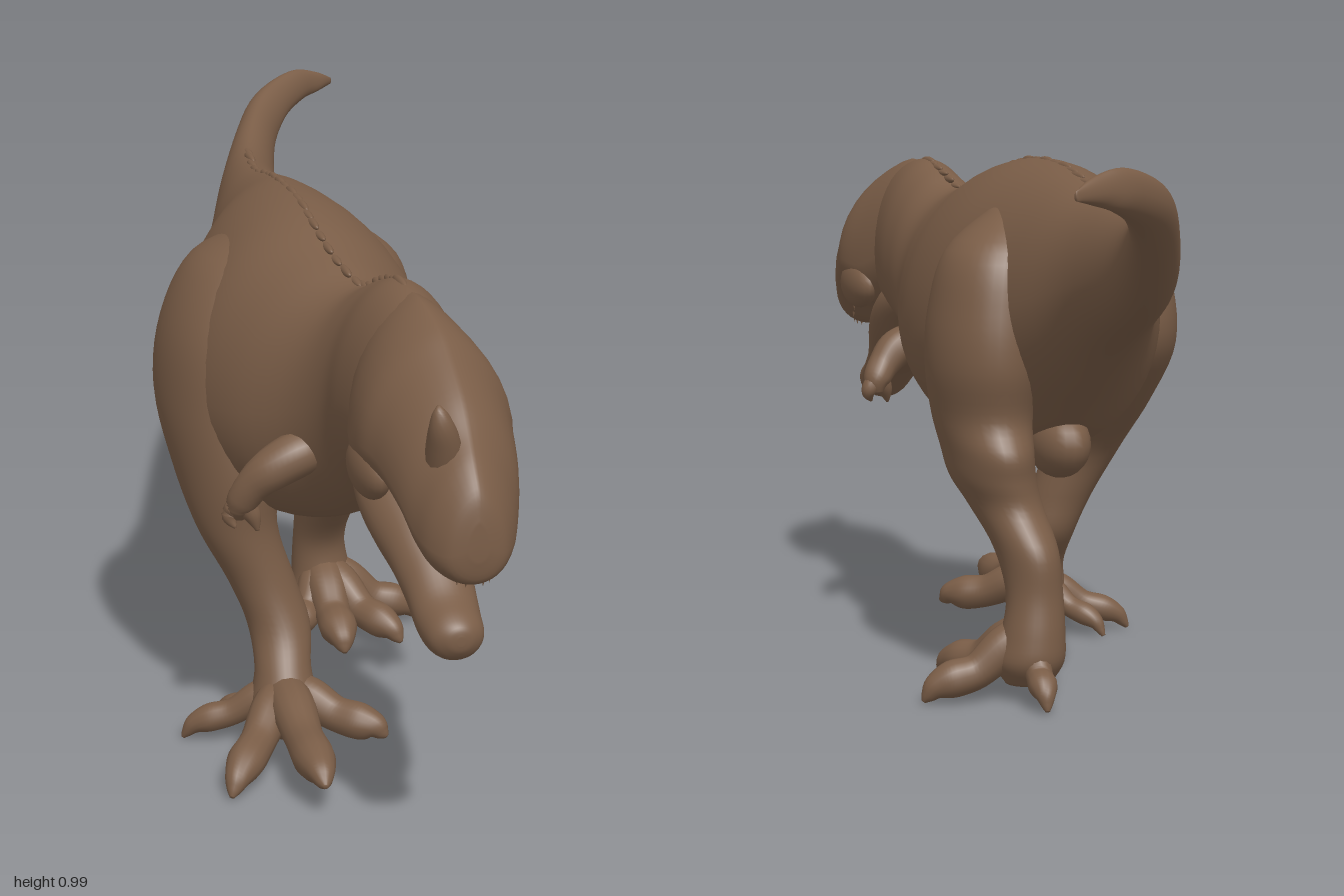
import * as THREE from 'three';

const skin = new THREE.MeshStandardMaterial({ color: 0x7a5d47 });
skin.name = 'brownSkin';

// Smooth interpolation through rows of numbers
function smoothRows(rows, steps) {
  const out = [], last = rows.length - 1;
  for (let i = 0; i < last; i++) {
    const a = rows[Math.max(i - 1, 0)], b = rows[i], c = rows[i + 1], d = rows[Math.min(i + 2, last)];
    for (let s = 0; s < steps; s++) {
      const t = s / steps;
      out.push(b.map((_, k) => b[k] + 0.5 * t * (c[k] - a[k]
        + t * (2 * a[k] - 5 * b[k] + 4 * c[k] - d[k] + t * (3 * (b[k] - c[k]) + d[k] - a[k])))));
    }
  }
  out.push(rows[last]);
  return out;
}

// Skin a list of closed rings, with a centre vertex closing each end
function skinRings(name, rings) {
  const n = rings[0].length, m = rings.length, pos = [], idx = [];
  rings.forEach(r => r.forEach(p => pos.push(p.x, p.y, p.z)));
  for (let i = 0; i < m - 1; i++) for (let j = 0; j < n; j++) {
    const k = (j + 1) % n, a = i * n + j, b = i * n + k, c = a + n, d = b + n;
    idx.push(a, b, c, b, d, c);
  }
  [rings[0], rings[m - 1]].forEach((r, e) => {
    const c = r.reduce((s, p) => s.add(p), new THREE.Vector3()).divideScalar(n);
    pos.push(c.x, c.y, c.z);
    for (let j = 0; j < n; j++) {
      const o = e * (m - 1) * n, a = o + j, b = o + (j + 1) % n;
      if (e) idx.push(a, b, m * n + 1); else idx.push(b, a, m * n);
    }
  });
  const g = new THREE.BufferGeometry();
  g.setAttribute('position', new THREE.Float32BufferAttribute(pos, 3));
  g.setIndex(idx);
  g.computeVertexNormals();
  const mesh = new THREE.Mesh(g, skin);
  mesh.name = name;
  return mesh;
}

// Rows: [t, centre x, half width, low v, high v]; place maps (x, v, t) to space
function loft(name, rows, place, mid = 0.5, peak = 0, n = 36) {
  return skinRings(name, smoothRows(rows, 5).map(([t, cx, w, lo, hi]) => {
    const ring = [], vm = lo + (hi - lo) * mid;
    for (let j = 0; j < n; j++) {
      const a = j / n * Math.PI * 2, c = Math.cos(a), s = Math.sin(a);
      const x = s > 0 ? c * Math.pow(Math.abs(c), peak) : c;
      ring.push(place(cx + w * x, vm + s * (s > 0 ? hi - vm : vm - lo), t));
    }
    return ring;
  }));
}
const alongZ = (x, v, t) => new THREE.Vector3(x, v, t);
const alongY = (x, v, t) => new THREE.Vector3(x, t, v);

// Tapered round limb through [x, y, z, radius]
function limb(name, pts, n = 14) {
  const rows = smoothRows(pts, 6), P = rows.map(r => new THREE.Vector3(r[0], r[1], r[2]));
  const ref = new THREE.Vector3(0.31, 0.9, 0.2).normalize();
  return skinRings(name, P.map((p, i) => {
    const d = P[Math.min(i + 1, P.length - 1)].clone().sub(P[Math.max(i - 1, 0)]).normalize();
    const u = new THREE.Vector3().crossVectors(ref, d).normalize();
    const v = new THREE.Vector3().crossVectors(d, u), r = Math.max(rows[i][3], 0.001);
    return Array.from({ length: n }, (_, j) => {
      const a = j / n * Math.PI * 2;
      return p.clone().addScaledVector(u, r * Math.cos(a)).addScaledVector(v, r * Math.sin(a));
    });
  }));
}

function blob(name, x, y, z, rx, ry, rz) {
  const m = new THREE.Mesh(new THREE.SphereGeometry(1, 20, 14), skin);
  m.name = name;
  m.position.set(x, y, z);
  m.scale.set(rx, ry, rz);
  return m;
}

// Toes flare out of the ankle; each ends in a knuckle and a drooping claw
function foot(name, ax, az, ankle, tips) {
  const g = new THREE.Group();
  g.name = name;
  tips.forEach(([x, y, z, r]) => {
    const at = (f, h, q) => [ax + (x - ax) * f, h, az + (z - az) * f, q];
    g.add(limb('toe', [at(0.02, ankle, r), at(0.25, ankle * 0.55 + 0.03 + y * 0.2, r * 1.1),
      at(0.5, 0.06 + y * 0.4, r * 0.95), at(0.73, 0.045 + y * 0.55, r),
      at(0.88, 0.03 + y * 0.75, r * 0.72), at(0.96, 0.012 + y * 0.88, r * 0.4), at(1, y, 0.004)]));
  });
  return g;
}

export function createModel() {
  const model = new THREE.Group();
  model.name = 'dinosaur';

  // Tail, torso and neck
  const body = [
    [-1, 0.295, 0.004, 0.955, 0.97], [-0.97, 0.25, 0.025, 0.945, 0.99], [-0.94, 0.198, 0.034, 0.93, 1.0],
    [-0.87, 0.128, 0.042, 0.895, 0.98], [-0.77, 0.074, 0.044, 0.83, 0.945], [-0.61, 0.024, 0.061, 0.735, 0.905],
    [-0.4, -0.008, 0.093, 0.65, 0.915], [-0.24, -0.015, 0.14, 0.545, 0.94], [-0.1, -0.03, 0.192, 0.45, 0.96],
    [0.05, -0.035, 0.222, 0.41, 0.965], [0.18, -0.04, 0.225, 0.41, 0.95], [0.3, -0.03, 0.19, 0.44, 0.915],
    [0.4, -0.005, 0.135, 0.5, 0.89], [0.48, 0.01, 0.112, 0.555, 0.92], [0.56, 0.012, 0.107, 0.585, 0.94],
    [0.66, 0.012, 0.09, 0.61, 0.925], [0.74, 0.012, 0.05, 0.68, 0.88]];
  model.add(loft('body', body, alongZ, 0.44, 0.1, 48));
  model.add(blob('vent', -0.02, 0.45, -0.1, 0.055, 0.065, 0.09));

  // Low ridge along the spine
  smoothRows(body.slice(5, 15), 3).forEach(([z, x, , , top], i) =>
    model.add(blob('spineBump', x, top - 0.005, z, 0.008, 0.007 + 0.002 * (i % 2), 0.036)));

  // Head
  const head = new THREE.Group();
  head.name = 'head';
  head.add(loft('skull', [
    [0.58, 0.015, 0.09, 0.665, 0.93], [0.66, 0.015, 0.117, 0.615, 0.935], [0.74, 0.02, 0.127, 0.638, 0.912],
    [0.8, 0.02, 0.114, 0.64, 0.88], [0.87, 0.02, 0.1, 0.613, 0.835], [0.92, 0.018, 0.085, 0.573, 0.79],
    [0.96, 0.015, 0.07, 0.563, 0.755], [0.99, 0.015, 0.047, 0.572, 0.715], [1, 0.015, 0.015, 0.61, 0.67]],
  alongZ, 0.32, 0.35));
  head.add(loft('lowerJaw', [
    [0.54, 0.01, 0.06, 0.62, 0.72], [0.6, 0.01, 0.09, 0.585, 0.71], [0.65, 0.01, 0.096, 0.535, 0.69],
    [0.7, 0.01, 0.088, 0.502, 0.66], [0.76, 0.01, 0.07, 0.472, 0.61], [0.81, 0.01, 0.058, 0.44, 0.56],
    [0.865, 0.01, 0.053, 0.412, 0.512], [0.91, 0.01, 0.045, 0.412, 0.49], [0.93, 0.01, 0.025, 0.43, 0.475],
    [0.935, 0.01, 0.006, 0.445, 0.46]], alongZ, 0.5));
  head.add(limb('horn', [[-0.01, 0.72, 0.895, 0.032], [-0.018, 0.77, 0.915, 0.028],
    [-0.026, 0.805, 0.93, 0.021], [-0.031, 0.83, 0.934, 0.012], [-0.032, 0.842, 0.932, 0.003]]));
  for (const s of [-1, 1]) {
    const X = d => 0.018 + s * d;
    head.add(blob('cheek', X(0.098), 0.675, 0.71, 0.032, 0.05, 0.08));
    head.add(limb('brow', [[X(0.055), 0.835, 0.69, 0.012], [X(0.07), 0.805, 0.76, 0.022],
      [X(0.062), 0.775, 0.83, 0.02], [X(0.047), 0.735, 0.9, 0.01]]));
    for (let i = 0; i < 5; i++) {
      const tooth = new THREE.Mesh(new THREE.ConeGeometry(0.008, 0.03, 7), skin);
      tooth.name = 'tooth';
      tooth.rotation.x = Math.PI;
      tooth.position.set(X(0.014 + i * 0.012), 0.572 + i * i * 0.0028, 0.97 - i * i * 0.0065);
      head.add(tooth);
    }
  }
  model.add(head);

  // Legs in mid stride, listed from hip to sole
  model.add(loft('rightLeg', [
    [0.91, -0.11, 0.03, 0.02, 0.11], [0.86, -0.145, 0.088, -0.07, 0.19], [0.75, -0.183, 0.106, -0.11, 0.25],
    [0.62, -0.199, 0.105, -0.11, 0.27], [0.5, -0.19, 0.095, -0.01, 0.28], [0.4, -0.182, 0.073, 0.1, 0.27],
    [0.3, -0.142, 0.061, 0.14, 0.27], [0.22, -0.115, 0.057, 0.16, 0.29], [0.15, -0.118, 0.051, 0.215, 0.33],
    [0.08, -0.12, 0.062, 0.22, 0.37], [0.04, -0.12, 0.042, 0.25, 0.35]], alongY));
  model.add(loft('leftLeg', [
    [0.885, 0.07, 0.025, -0.12, -0.04], [0.81, 0.105, 0.087, -0.21, 0], [0.7, 0.123, 0.101, -0.24, 0.032],
    [0.6, 0.129, 0.1, -0.245, 0.036], [0.51, 0.127, 0.087, -0.225, 0.036], [0.45, 0.124, 0.077, -0.252, 0.025],
    [0.4, 0.118, 0.073, -0.248, -0.005], [0.35, 0.102, 0.064, -0.25, -0.055], [0.28, 0.085, 0.055, -0.295, -0.13],
    [0.2, 0.08, 0.051, -0.3, -0.19], [0.13, 0.085, 0.058, -0.31, -0.19], [0.08, 0.09, 0.064, -0.31, -0.17],
    [0.04, 0.09, 0.042, -0.28, -0.2]], alongY));
  model.add(foot('rightFoot', -0.12, 0.285, 0.115, [[-0.125, 0.07, 0.615, 0.037], [-0.265, 0.015, 0.505, 0.034],
    [0.04, 0.055, 0.41, 0.034], [-0.295, 0.012, 0.23, 0.026], [-0.22, 0.012, 0.17, 0.022], [-0.065, 0.012, 0.21, 0.024]]));
  model.add(foot('leftFoot', 0.085, -0.24, 0.135, [[0.08, 0.03, -0.035, 0.037], [0.2, 0.03, -0.06, 0.034],
    [0.282, 0.015, -0.22, 0.034], [0, 0.03, -0.12, 0.031], [0.1, 0.015, -0.365, 0.026]]));

  // Small arms with two fingers
  for (const [name, s, x, o] of [['leftArm', 1, 0.1, 0], ['rightArm', -1, 0.135, 0.01]]) {
    const arm = new THREE.Group(), X = d => s * (x + d);
    arm.name = name;
    arm.add(limb('forearm', [[X(-0.07), 0.61, 0.39, 0.03], [X(-0.02), 0.59 + o, 0.4, 0.04], [X(0.03), 0.575, 0.4, 0.038],
      [X(0.062), 0.545, 0.39, 0.031], [X(0.082), 0.515 - o, 0.375, 0.026], [X(0.083), 0.49 - o, 0.37, 0.012]]));
    arm.add(limb('finger', [[X(0.08), 0.52 - o, 0.375, 0.02], [X(0.1), 0.495 - o, 0.37, 0.015], [X(0.092), 0.475 - o, 0.38, 0.003]]));
    arm.add(limb('finger', [[X(0.075), 0.52 - o, 0.38, 0.02], [X(0.062), 0.495 - o, 0.385, 0.015], [X(0.055), 0.47 - o, 0.39, 0.003]]));
    model.add(arm);
  }
  return model;
}
